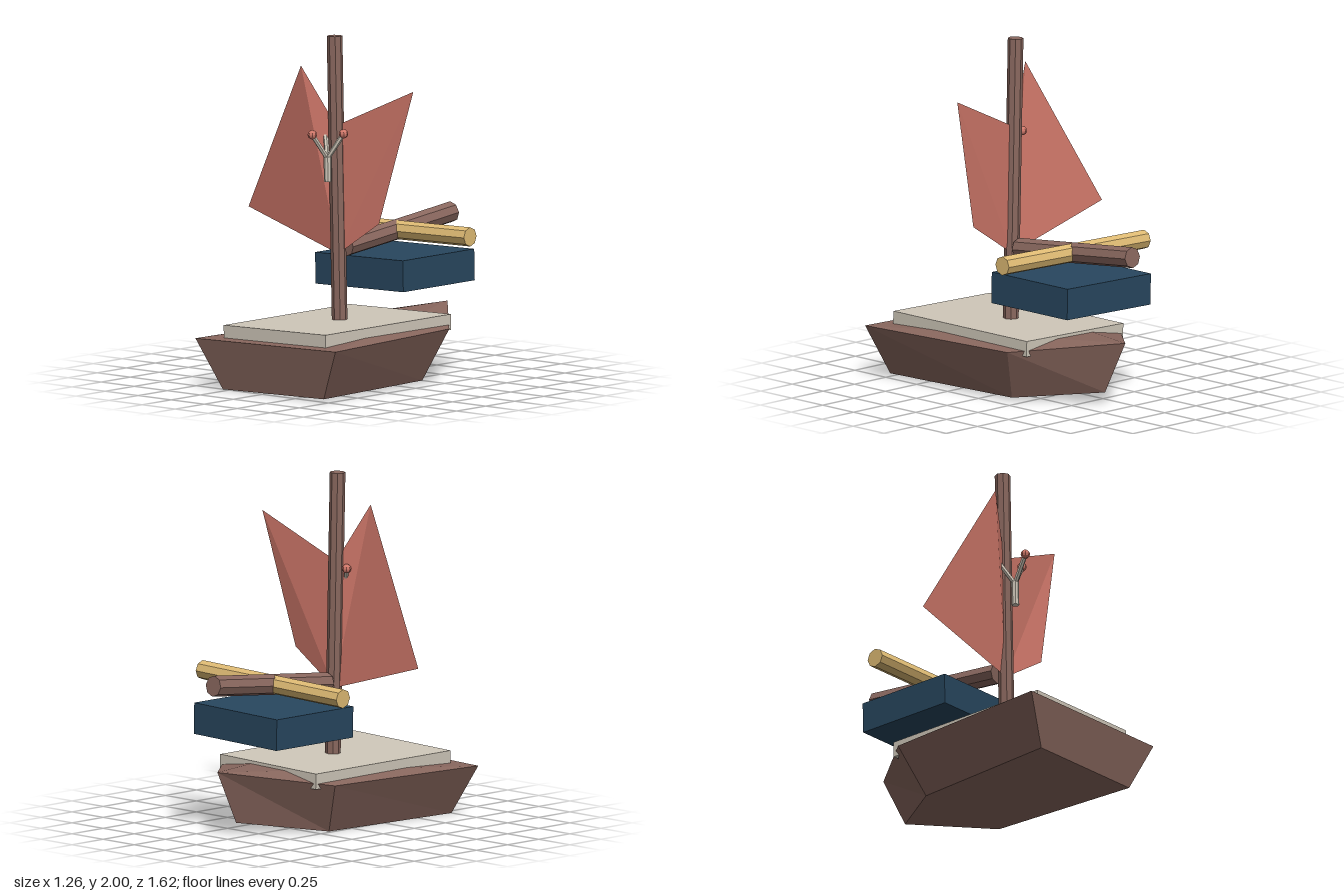
import * as THREE from 'three';

const mat = (name, color) => {
  const m = new THREE.MeshStandardMaterial({ color, flatShading: true });
  m.name = name;
  return m;
};

export function createModel() {
  const wood = mat('brown wood', 0x8a685f);
  const cream = mat('pale cream', 0xd0c8ba);
  const coral = mat('coral', 0xd0786a);
  const navy = mat('navy blue', 0x28475f);
  const ochre = mat('ochre', 0xdfbb74);
  coral.side = THREE.DoubleSide;

  const model = new THREE.Group();
  const ship = new THREE.Group(); // the whole boat leans slightly to one side
  ship.name = 'ship';
  ship.position.set(0.083, 0.009, 0);
  ship.rotation.z = 0.0235;
  model.add(ship);

  const add = (name, geo, material, x = 0, y = 0, z = 0, parent = ship) => {
    const mesh = new THREE.Mesh(geo, material);
    mesh.name = name;
    mesh.position.set(x, y, z);
    parent.add(mesh);
    return mesh;
  };
  const facets = (points, index) => {
    const g = new THREE.BufferGeometry();
    g.setAttribute('position', new THREE.Float32BufferAttribute(points.flat(), 3));
    g.setIndex(index);
    const flat = g.toNonIndexed();
    flat.computeVertexNormals();
    return flat;
  };
  // Round bar between two points
  const bar = (name, a, b, r, sides, material, parent = ship) => {
    const from = new THREE.Vector3(...a), to = new THREE.Vector3(...b);
    const dir = to.clone().sub(from);
    const mesh = add(name, new THREE.CylinderGeometry(r, r, dir.length(), sides), material, 0, 0, 0, parent);
    mesh.position.copy(from).add(to).multiplyScalar(0.5);
    mesh.quaternion.setFromUnitVectors(new THREE.Vector3(0, 1, 0), dir.normalize());
    return mesh;
  };

  // Hull: five-sided rim over a smaller five-sided bottom
  const rim = [[-0.53, 0.288, 0.81], [0.53, 0.288, 0.81], [0.45, 0.295, -0.26], [0, 0.368, -0.757], [-0.45, 0.295, -0.26]];
  const keel = [[-0.382, 0, 0.75], [0.382, 0, 0.75], [0.318, 0, -0.17], [0, 0.057, -0.6], [-0.318, 0, -0.17]];
  const index = [0, 1, 3, 1, 2, 3, 0, 3, 4, 7, 6, 5, 8, 7, 5, 9, 8, 5];
  for (let i = 0; i < 5; i++) {
    const j = (i + 1) % 5;
    index.push(i, i + 5, j + 5, i, j + 5, j);
  }
  add('hull', facets([...rim, ...keel], index), wood);

  // Deck and cabin
  add('deck', new THREE.BoxGeometry(0.77, 0.09, 1.08), cream, 0, 0.32, 0.19);
  add('cabin', new THREE.BoxGeometry(0.664, 0.18, 0.614), navy, 0, 0.615, -0.312);

  // Mast and the crossed spars above the cabin
  bar('mast', [0, 0.3, 0.17], [0, 1.99, 0.17], 0.0445, 8, wood);
  bar('longSpar', [0, 0.778, 0.11], [0, 0.873, -0.802], 0.06, 8, wood);
  bar('crossSpar', [-0.565, 0.824, -0.323], [0.565, 0.824, -0.323], 0.055, 8, ochre);

  // Sails: four-cornered sheets meeting at the mast
  const foot = [0, 0.74, 0.17], head = [0, 1.475, 0.17];
  const sail = (name, low, high) => add(name, facets([foot, low, high, head], [0, 1, 2, 0, 2, 3]), coral);
  sail('leftSail', [0.312, 0.934, 0.17], [0.5275, 1.7, 0.1]);
  sail('rightSail', [-0.693, 0.958, 0.15], [-0.175, 1.816, 0.265]);

  // Three-armed lamp in front of the mast
  const lamp = new THREE.Group();
  lamp.name = 'lamp';
  lamp.position.set(0, 0, 0.25);
  ship.add(lamp);
  bar('lampStem', [0, 1.163, 0], [0, 1.305, 0], 0.022, 8, cream, lamp);
  for (let i = 0; i < 3; i++) {
    const a = (103 + 120 * i) * Math.PI / 180;
    const x = 0.103 * Math.cos(a), z = 0.103 * Math.sin(a);
    bar('lampArm', [0, 1.295, 0], [x, 1.441, z], 0.014, 6, cream, lamp);
    add('lampBulb', new THREE.SphereGeometry(0.027, 8, 6), coral, x, 1.441, z, lamp);
  }
  return model;
}
